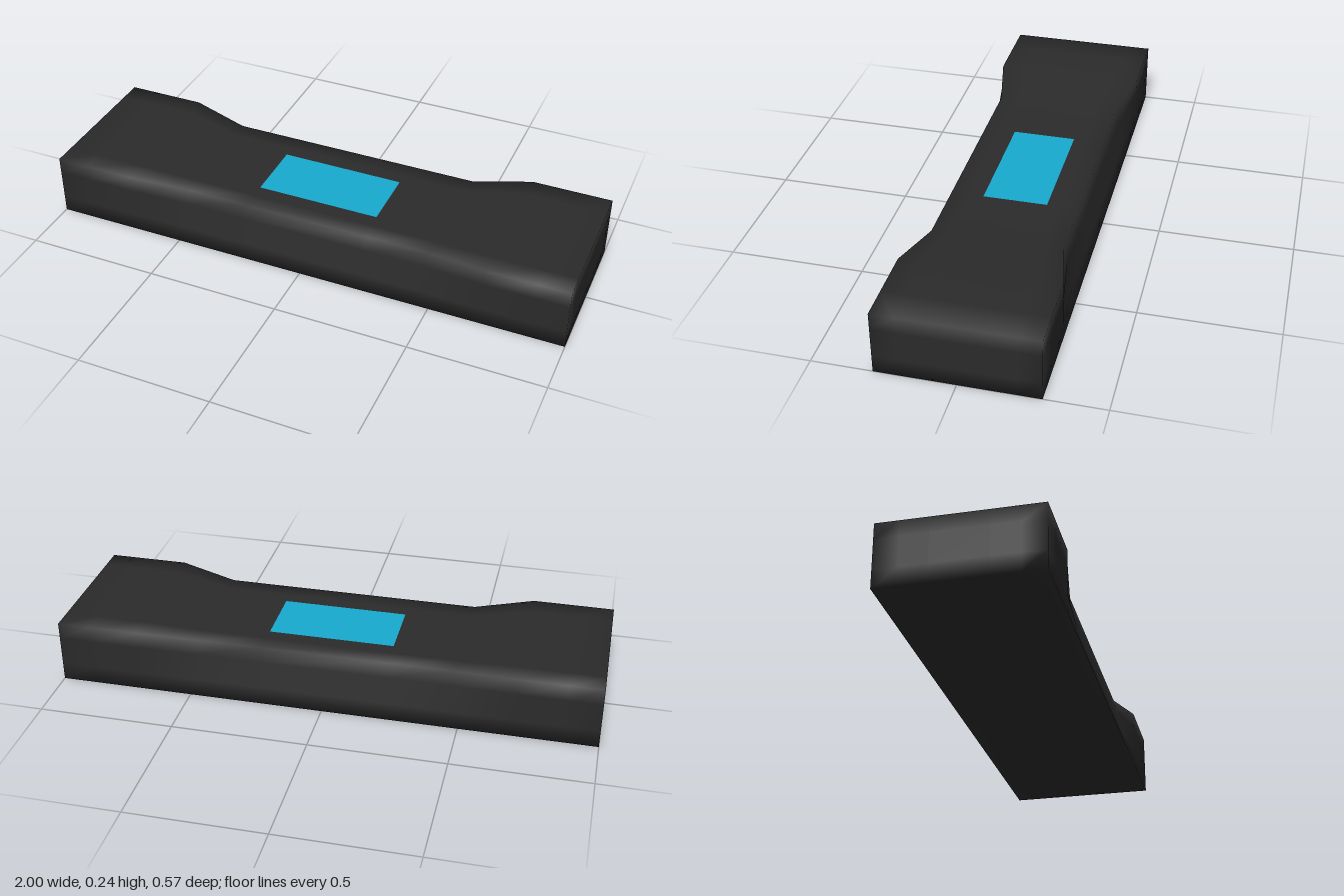
import * as THREE from 'three';
import { mergeVertices } from 'three/addons/utils/BufferGeometryUtils.js';

// Edge loops along each axis
const X = [-1, -0.88, -0.7, -0.48, -0.233, 0.233, 0.48, 0.7, 0.88, 1];
const Y = [0, 0.28, 0.74, 1]; // fraction of the local height
const Z = [-0.284, -0.2, -0.1, 0.1, 0.2, 0.284];

// 1 in the waisted middle, 0 towards the raised ends
const waist = (x) => 1 - THREE.MathUtils.clamp((Math.abs(x) - 0.48) / 0.22, 0, 1);

function bodyGeometry() {
  const box = new THREE.BoxGeometry(1, 1, 1, X.length - 1, Y.length - 1, Z.length - 1);
  box.deleteAttribute('normal');
  box.deleteAttribute('uv');
  const geometry = mergeVertices(box, 1e-4);
  const p = geometry.attributes.position;
  const pick = (loops, t) => loops[Math.round((t + 0.5) * (loops.length - 1))];
  for (let i = 0; i < p.count; i++) {
    const x = pick(X, p.getX(i));
    const f = pick(Y, p.getY(i));
    const z = pick(Z, p.getZ(i));
    const w = waist(x);
    // The middle is lower, and its sides lean inwards towards the top
    const height = 0.238 - 0.028 * w;
    const narrowing = 1 - (0.048 / 0.284) * w * f;
    p.setXYZ(i, x, f * height, z * narrowing);
  }
  geometry.computeVertexNormals();
  return geometry;
}

export function createModel() {
  const model = new THREE.Group();
  model.name = 'device';

  // Dark casing with softly shaded edges
  const body = new THREE.Mesh(bodyGeometry(), new THREE.MeshStandardMaterial({ color: 0x2b2b2b }));
  body.name = 'body';
  model.add(body);

  // Flat display panel on the lowered middle
  const screen = new THREE.Mesh(
    new THREE.PlaneGeometry(0.466, 0.236),
    new THREE.MeshStandardMaterial({ color: 0x18aad0 })
  );
  screen.name = 'screen';
  screen.rotation.x = -Math.PI / 2;
  screen.position.set(0, 0.212, -0.002);
  model.add(screen);

  return model;
}
